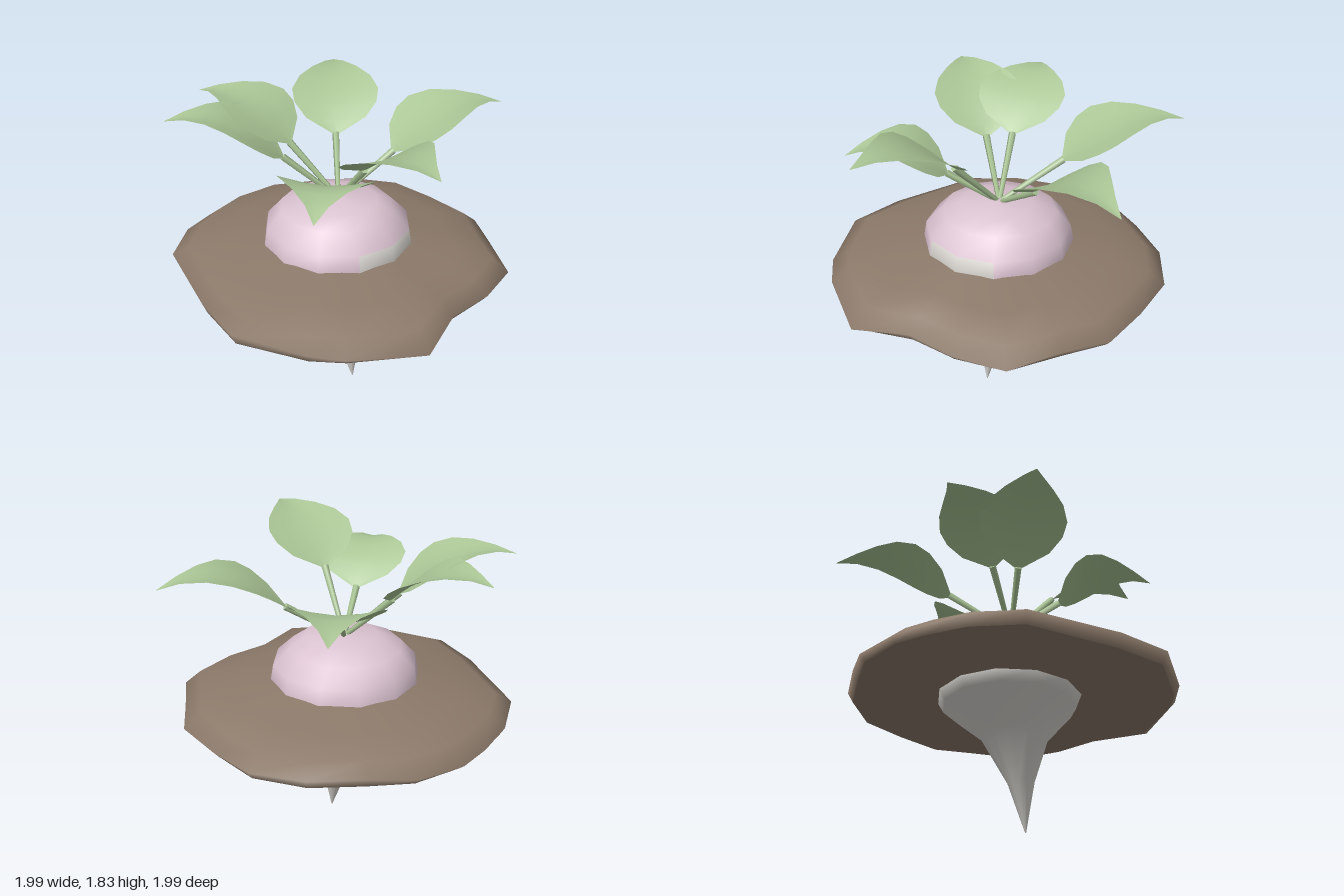
import * as THREE from 'three';

const mat = (name, color, side = THREE.FrontSide) => {
  const m = new THREE.MeshStandardMaterial({ color, side });
  m.name = name;
  return m;
};

// Skin closed rings of points, listed from bottom to top; pick(i, j) gives each face's material index
function loft(rings, pick = () => 0) {
  const n = rings[0].length;
  const faces = [[], []];
  for (let i = 0; i < rings.length - 1; i++) {
    for (let j = 0; j < n; j++) {
      const k = (j + 1) % n;
      const a = i * n + j, b = i * n + k, c = a + n, d = b + n;
      faces[pick(i, j)].push(a, b, d, a, d, c);
    }
  }
  const g = new THREE.BufferGeometry();
  g.setAttribute('position', new THREE.Float32BufferAttribute(rings.flat(2), 3));
  g.setIndex([...faces[0], ...faces[1]]);
  g.addGroup(0, faces[0].length, 0);
  g.addGroup(faces[0].length, faces[1].length, 1);
  g.computeVertexNormals();
  return g;
}

export function createModel() {
  const group = new THREE.Group();
  const white = mat('rootWhite', 0xd6d3ce);
  const pink = mat('skinPink', 0xdcc4d2);
  const brown = mat('soilBrown', 0x8c7a6a);
  const green = mat('leafGreen', 0xabc696, THREE.DoubleSide);
  const add = (name, geometry, material, parent = group) => {
    const m = new THREE.Mesh(geometry, material);
    m.name = name;
    parent.add(m);
    return m;
  };

  // Root bulb: [y, centre z, radius]
  const sides = 12;
  const bulb = [
    [0, 0.13, 0.003], [0.29, 0.09, 0.08], [0.56, 0.035, 0.205], [0.73, -0.02, 0.4],
    [0.8, -0.02, 0.44], [0.985, 0, 0.45], [1.1, 0, 0.43], [1.2, -0.01, 0.335],
    [1.258, 0.03, 0.21], [1.275, 0.03, 0.003],
  ].map(([y, z, r]) => Array.from({ length: sides }, (_, j) => {
    const a = (j / sides) * Math.PI * 2;
    return [-0.005 + r * Math.sin(a), y, z + r * Math.cos(a)];
  }));
  // White below the soil, plus a pale patch on the front two faces
  const pale = (i, j) => (i < 5 || (i === 5 && (j === 0 || j === sides - 1)) ? 0 : 1);
  add('rootBulb', loft(bulb, pale), [white, pink]);

  // Soil disc: rim points [x, z, y] going round from the front
  const rim = [
    [0, 0.89, 0.84], [0.3, 0.9, 0.83], [0.6, 0.83, 0.82], [0.78, 0.55, 0.84], [0.94, 0.32, 0.83],
    [0.96, 0, 0.83], [0.95, -0.32, 0.84], [0.78, -0.6, 0.85], [0.52, -0.8, 0.85], [0.3, -0.95, 0.83],
    [0, -1, 0.82], [-0.2, -0.97, 0.83], [-0.44, -0.9, 0.85], [-0.7, -0.72, 0.86], [-0.92, -0.18, 0.87],
    [-1, 0.16, 0.865], [-0.83, 0.57, 0.85], [-0.7, 0.73, 0.83], [-0.33, 0.99, 0.802],
  ];
  const scaled = (s, y) => rim.map(([x, z, ry]) => [x * s, y ?? ry, z * s]);
  const circle = (r, y) => rim.map(([x, z]) => {
    const l = Math.hypot(x, z);
    return [(x / l) * r, y, (z / l) * r];
  });
  const foot = scaled(0.965, 0.79);
  add('soilTop', loft([foot, scaled(1), scaled(0.9, 0.912), scaled(0.7, 0.96), circle(0.42, 1.01)]), brown);
  add('soilUnderside', loft([circle(0.41, 0.79), foot]), brown);

  // Leaf blade: half widths [t along midrib, width], cupped about an arching midrib
  const widths = [[0, 0.015], [0.09, 0.18], [0.2, 0.25], [0.32, 0.265], [0.48, 0.22], [0.65, 0.14], [0.83, 0.06], [1, 0.002]];
  const cross = [-1, -0.5, 0, 0.5, 1];
  function blade(base, control, tip) {
    const rib = new THREE.QuadraticBezierCurve3(base, control, tip);
    const across = new THREE.Vector3(tip.z - base.z, 0, base.x - tip.x).normalize();
    const pos = [], idx = [], n = cross.length;
    widths.forEach(([t, w], i) => {
      const p = rib.getPoint(t);
      cross.forEach((s, j) => {
        pos.push(p.x + across.x * s * w, p.y + 0.16 * w * Math.abs(s) ** 1.5, p.z + across.z * s * w);
        if (i && j) {
          const d = i * n + j, c = d - 1, b = d - n, a = b - 1;
          idx.push(a, c, b, b, c, d);
        }
      });
    });
    const g = new THREE.BufferGeometry();
    g.setAttribute('position', new THREE.Float32BufferAttribute(pos, 3));
    g.setIndex(idx);
    g.computeVertexNormals();
    return g;
  }

  // Each leaf: base xyz, control height, tip xyz
  const crown = new THREE.Vector3(0, 1.25, 0);
  const leaves = [
    ['frontLeaf', -0.1, 1.57, 0.29, 1.88, -0.27, 1.81, 0.95],
    ['frontLeftLeaf', 0.32, 1.48, 0.13, 1.82, 0.99, 1.67, 0.41],
    ['backLeftLeaf', 0.26, 1.48, -0.27, 1.8, 0.77, 1.68, -0.78],
    ['backLeaf', -0.1, 1.54, -0.29, 1.86, -0.27, 1.75, -0.89],
    ['backRightLeaf', -0.23, 1.52, -0.21, 1.87, -0.72, 1.77, -0.65],
    ['frontRightLeaf', -0.24, 1.44, 0.17, 1.74, -0.71, 1.57, 0.51],
  ];
  for (const [name, bx, by, bz, cy, tx, ty, tz] of leaves) {
    const leaf = new THREE.Group();
    leaf.name = name;
    group.add(leaf);
    const base = new THREE.Vector3(bx, by, bz), tip = new THREE.Vector3(tx, ty, tz);
    const control = base.clone().lerp(tip, 0.5).setY(cy);
    add('blade', blade(base, control, tip), green, leaf);
    // Stem widening from the crown to the blade
    const dir = base.clone().sub(crown);
    const stem = add('stem', new THREE.CylinderGeometry(0.022, 0.014, dir.length() + 0.02, 5), green, leaf);
    stem.position.copy(crown).addScaledVector(dir, 0.5);
    stem.quaternion.setFromUnitVectors(new THREE.Vector3(0, 1, 0), dir.normalize());
  }
  return group;
}
